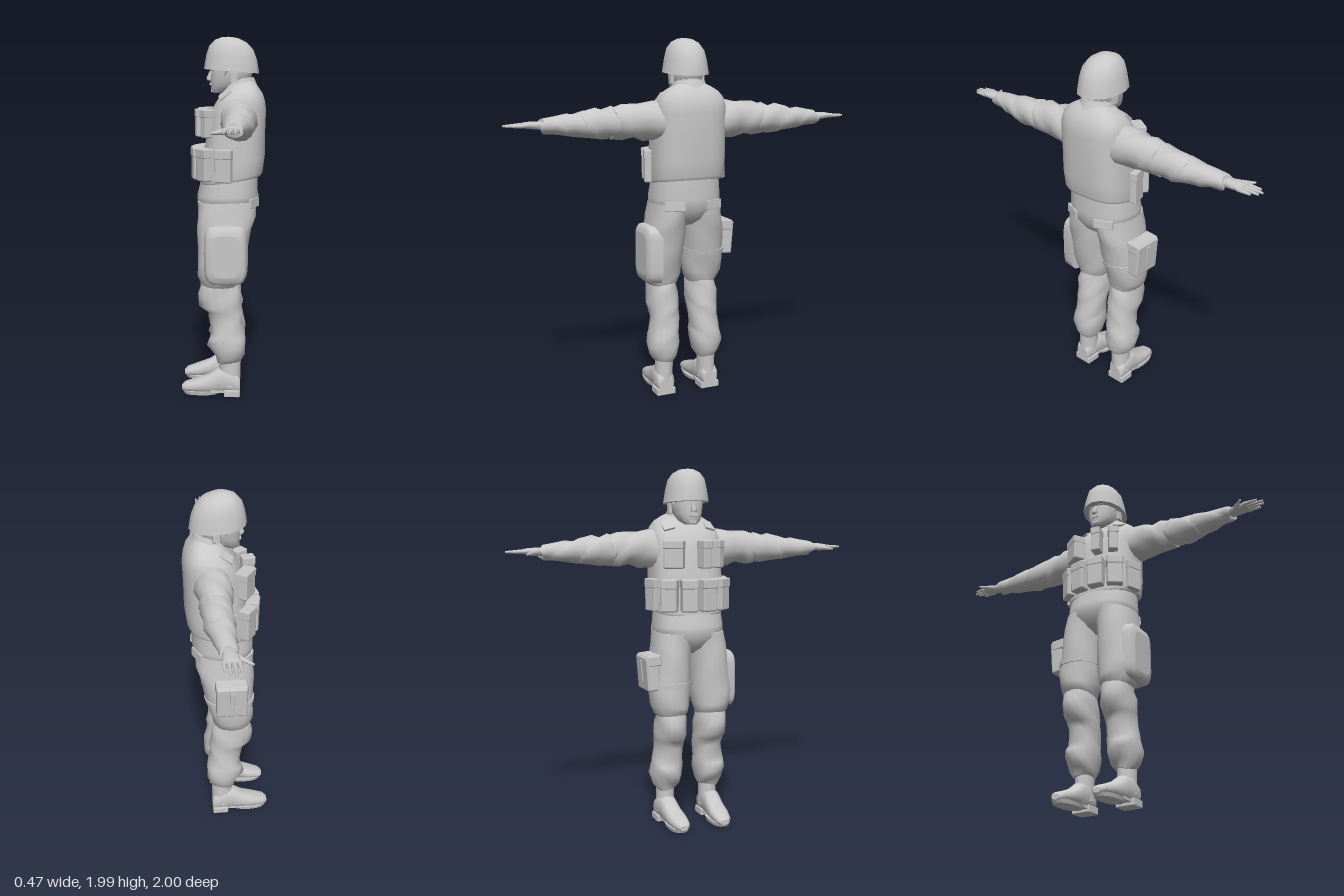
import * as THREE from 'three';
import { RoundedBoxGeometry } from 'three/addons/geometries/RoundedBoxGeometry.js';

const grey = new THREE.MeshStandardMaterial({ color: 0xc8c8c8 });
grey.name = 'plain light grey';

// Skin over superellipse rings. Row: [position on axis, centre u, centre v, radius u, radius v]
// axis y: u=x v=z; axis z: u=y v=x; axis x: u=z v=y. Rows ascend along the axis.
function loft(axis, rows, { n = 16, power = 2, slope = 0, fold = 0 } = {}) {
  const pos = [], index = [];
  const put = (p, u, v) => pos.push(...(axis === 'y' ? [u, p + slope * u, v] : axis === 'z' ? [v, u, p] : [p, v, u]));
  const soft = (c) => Math.sign(c) * Math.abs(c) ** (2 / power);
  const ring = ([p, cu, cv, ru, rv], i) => {
    for (let j = 0; j < n; j++) {
      const a = (j / n) * Math.PI * 2;
      const k = 1 + fold * Math.sin(3 * a + i * 2.3);
      put(p + fold * 0.15 * Math.sin(2 * a + i * 1.7), cu + ru * k * soft(Math.cos(a)), cv + rv * k * soft(Math.sin(a)));
    }
  };
  rows.forEach(ring);
  for (let i = 0; i < rows.length - 1; i++) for (let j = 0; j < n; j++) {
    const a = i * n + j, b = i * n + (j + 1) % n;
    index.push(a, a + n, b, b, a + n, b + n);
  }
  // end caps with their own vertices, so the rims stay sharp
  [0, rows.length - 1].forEach((i, last) => {
    const start = pos.length / 3;
    ring(rows[i], i);
    put(rows[i][0], rows[i][1], rows[i][2]);
    for (let j = 0; j < n; j++) {
      const a = start + j, b = start + (j + 1) % n;
      index.push(start + n, last ? b : a, last ? a : b);
    }
  });
  const g = new THREE.BufferGeometry();
  g.setAttribute('position', new THREE.Float32BufferAttribute(pos, 3));
  g.setIndex(index);
  g.computeVertexNormals();
  return g;
}

// Tapered rod between two points
function rod(a, b, r0, r1) {
  const p = new THREE.Vector3(...a), d = new THREE.Vector3(...b).sub(p);
  const g = new THREE.CylinderGeometry(r1, r0, d.length(), 7);
  g.applyQuaternion(new THREE.Quaternion().setFromUnitVectors(new THREE.Vector3(0, 1, 0), d.clone().normalize()));
  return g.translate(p.x + d.x / 2, p.y + d.y / 2, p.z + d.z / 2);
}

const box = (w, h, d, x, y, z, rx = 0, ry = 0, rz = 0) => new RoundedBoxGeometry(w, h, d, 1, Math.min(w, h, d) * 0.15)
  .rotateX(rx).rotateZ(rz).rotateY(ry).translate(x, y, z);

// Mirror across z = 0 and turn the faces back outward
function mirror(geo) {
  const g = geo.clone().scale(1, 1, -1);
  const old = g.index ? Array.from(g.index.array) : Array.from({ length: g.attributes.position.count }, (_, i) => i);
  for (let i = 0; i < old.length; i += 3) [old[i], old[i + 1]] = [old[i + 1], old[i]];
  g.setIndex(old);
  return g;
}

export function createModel() {
  const model = new THREE.Group();
  model.name = 'soldier';
  const add = (name, geo) => {
    const m = new THREE.Mesh(geo, grey);
    m.name = name;
    model.add(m);
  };
  const pair = (name, geo) => { add(name + 'Left', geo); add(name + 'Right', mirror(geo)); };

  // Helmet and head, facing -x
  add('helmet', loft('y', [[1.805, .04, 0, .15, .124], [1.83, .04, 0, .147, .12], [1.88, .04, 0, .138, .112],
    [1.93, .038, 0, .12, .1], [1.965, .036, 0, .087, .074], [1.983, .034, 0, .045, .04], [1.987, .033, 0, .012, .012]], { n: 14, slope: -.08 }));
  add('head', loft('y', [[1.685, -.03, 0, .032, .03], [1.705, -.005, 0, .067, .058], [1.745, .03, 0, .105, .078],
    [1.79, .042, 0, .114, .088], [1.86, .045, 0, .115, .09]], { power: 2.3 }));
  add('nose', loft('y', [[1.752, -.076, 0, .016, .016], [1.764, -.078, 0, .02, .017], [1.805, -.065, 0, .014, .009]], { n: 6 }));
  add('lips', box(.018, .014, .042, -.07, 1.733, 0));
  add('chin', box(.03, .022, .04, -.056, 1.7, 0));
  pair('brow', box(.02, .012, .04, -.062, 1.813, .03));
  pair('ear', box(.038, .055, .018, .055, 1.772, .09));
  pair('chinStrap', rod([.02, 1.82, .094], [-.035, 1.695, .036], .007, .007));
  add('neck', loft('y', [[1.66, .085, 0, .085, .085], [1.73, .08, 0, .075, .078], [1.80, .075, 0, .07, .07]]));
  add('collar', loft('y', [[1.69, .085, 0, .1, .105], [1.745, .085, 0, .077, .088]], { slope: .15 }));

  // Armoured vest
  add('vest', loft('y', [[1.21, .04, 0, .165, .195], [1.225, .042, 0, .172, .203], [1.31, .053, 0, .172, .205],
    [1.45, .063, 0, .163, .202], [1.56, .075, 0, .155, .2], [1.61, .08, 0, .143, .199], [1.65, .086, 0, .125, .188],
    [1.685, .09, 0, .1, .16], [1.71, .092, 0, .08, .12], [1.728, .092, 0, .062, .085]], { n: 28, power: 2.7, slope: .15 }));
  pair('shoulderStrap', box(.075, .012, .06, .008, 1.68, .12, .3, 0, .6));

  // Pouches spread round the front of the vest
  const pouch = (name, y, t, w, h, d, cx, rx, rz) => {
    const x = cx - rx * Math.cos(t), z = rz * Math.sin(t);
    const ry = Math.atan2(-Math.cos(t) / rx, Math.sin(t) / rz);
    const g = box(w, h, d, 0, 0, d / 2 - .01);
    const flap = box(w + .003, h * .3, d + .004, 0, h * .36, d / 2 - .009);
    add(name, g.rotateY(ry).translate(x, y, z));
    add(name + 'Flap', flap.rotateY(ry).translate(x, y, z));
  };
  [-1.35, -.72, -.24, .24, .72, 1.3].forEach((t, i) =>
    pouch('beltPouch' + (i + 1), 1.305, t, .09, .175, Math.abs(t) > 1 ? .04 : .07, .05, .17, .205));
  [[-.62, .11], [.22, .055], [.68, .055]].forEach(([t, w], i) =>
    pouch('chestPouch' + (i + 1), 1.525, t, w, .15, .07, .065, .165, .185));

  // Sleeves, rolled into overlapping folds
  const fold = .075;
  pair('upperSleeve', loft('z', [[.13, 1.555, .08, .10, .09], [.2, 1.55, .08, .104, .098], [.27, 1.555, .08, .1, .091],
    [.33, 1.555, .082, .088, .084], [.38, 1.55, .083, .094, .082], [.44, 1.55, .083, .08, .076]], { n: 14, fold }));
  pair('elbowSleeve', loft('z', [[.40, 1.55, .083, .07, .07], [.43, 1.55, .082, .084, .081], [.49, 1.547, .082, .077, .075],
    [.54, 1.548, .082, .08, .078], [.6, 1.545, .08, .066, .071]], { n: 14, fold }));
  pair('foreSleeve', loft('z', [[.56, 1.545, .08, .06, .06], [.58, 1.545, .08, .069, .076], [.64, 1.545, .075, .058, .064],
    [.69, 1.545, .07, .057, .059], [.74, 1.545, .067, .046, .051], [.79, 1.545, .063, .041, .049], [.81, 1.545, .062, .035, .043]], { n: 14, fold }));

  // Hands, palm down, thumb to the front
  pair('palm', loft('z', [[.79, 1.545, .06, .022, .03], [.83, 1.548, .058, .021, .037], [.875, 1.55, .058, .018, .043],
    [.91, 1.55, .058, .012, .041]], { n: 10, power: 2.4 }));
  [[.023, .018, .975], [.047, .044, 1], [.07, .07, .993], [.092, .095, .965]].forEach(([x0, x1, tip], i) =>
    pair('finger' + (i + 1), rod([x0, 1.55, .895], [x1, 1.548, tip], .0125, .006)));
  pair('thumb', rod([.03, 1.545, .845], [-.042, 1.538, .905], .018, .005));

  // Trousers
  add('hips', loft('y', [[.975, .02, 0, .07, .05], [1.01, .02, 0, .125, .11], [1.07, .018, 0, .166, .195],
    [1.13, .02, 0, .168, .198], [1.24, .033, 0, .152, .186]], { n: 22, power: 2.4 }));
  pair('thigh', loft('y', [[.625, -.02, .12, .09, .075], [.65, -.025, .122, .108, .09], [.69, -.025, .124, .117, .106],
    [.76, -.016, .126, .127, .113], [.85, -.005, .121, .138, .111], [.95, .005, .113, .15, .108], [1.02, .014, .105, .158, .103],
    [1.1, .018, .1, .16, .095]], { n: 18, power: 2.2, fold: .025 }));
  pair('calf', loft('y', [[.195, .03, .13, .065, .054], [.23, .032, .13, .085, .075], [.29, .018, .133, .108, .09],
    [.34, .02, .128, .1, .086], [.37, .022, .125, .092, .083], [.44, .012, .118, .092, .08], [.485, .007, .12, .098, .084],
    [.52, -.018, .12, .118, .086], [.58, -.022, .12, .118, .085], [.63, -.025, .12, .106, .08], [.67, -.02, .12, .095, .074]], { n: 16, power: 2.2, fold: .045 }));
  pair('backPocketFlap', box(.014, .05, .11, .166, 1.095, .115, 0, -.4, .05));

  // Flat rounded cargo pocket on the left thigh, strapped bag on the right
  add('cargoPocket', loft('z', [[.17, .82, .012, .165, .122], [.235, .82, .012, .16, .115], [.25, .82, .012, .145, .1],
    [.256, .82, .012, .115, .075]], { n: 24, power: 4.5 }));
  add('thighBag', box(.17, .19, .075, -.01, .88, -.245, -.08));
  add('thighBagFlap', box(.175, .06, .08, -.01, .952, -.238, -.08));
  add('thighBagBuckle', box(.025, .12, .012, -.01, .89, -.283, -.08));
  add('thighBagStrap', loft('y', [[.8, -.01, -.124, .138, .116], [.825, -.008, -.123, .141, .116]], { n: 18, power: 2.2 }));

  // Boots
  pair('bootShaft', loft('y', [[.06, .035, .135, .058, .056], [.13, .035, .132, .06, .05], [.25, .04, .13, .058, .05]]));
  pair('bootFoot', loft('x', [[-.236, .123, .035, .022, .014], [-.215, .124, .042, .043, .024], [-.15, .127, .052, .055, .036],
    [-.08, .131, .066, .053, .05], [-.03, .134, .085, .052, .068], [.03, .136, .088, .055, .07], [.08, .136, .07, .052, .054],
    [.092, .136, .06, .04, .04]], { n: 14, power: 2.6 }));
  pair('sole', loft('y', [[.006, -.125, .126, .1, .052], [.026, -.125, .126, .111, .056]], { power: 2.4 }));
  pair('archSole', box(.1, .016, .085, -.025, .026, .133));
  pair('heel', box(.09, .04, .112, .047, .02, .136));

  return model;
}
